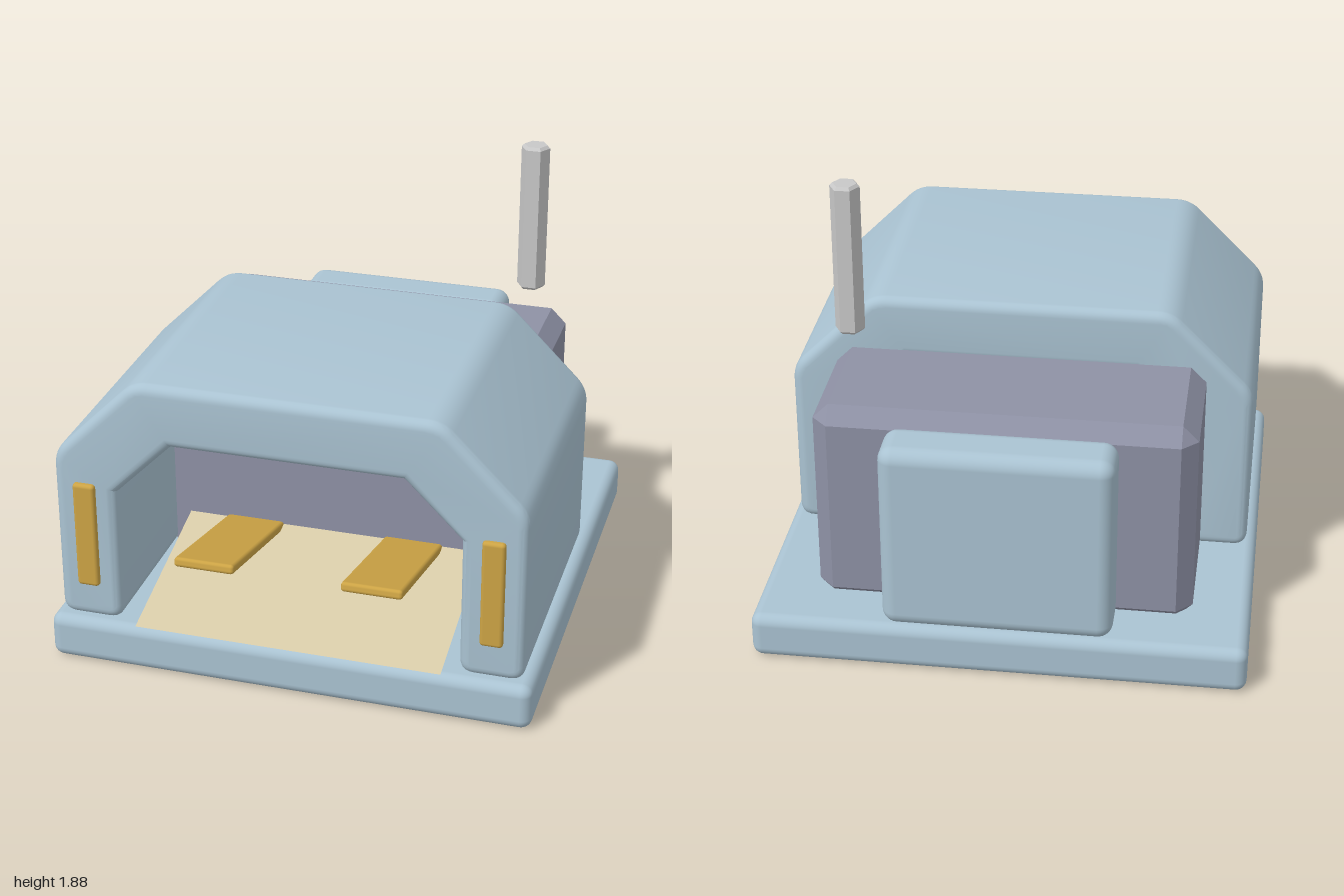
import * as THREE from 'three';
import { toCreasedNormals } from 'three/addons/utils/BufferGeometryUtils.js';
import { RoundedBoxGeometry } from 'three/addons/geometries/RoundedBoxGeometry.js';
import { ConvexGeometry } from 'three/addons/geometries/ConvexGeometry.js';

function material(name, color) {
  const m = new THREE.MeshStandardMaterial({ color });
  m.name = name;
  return m;
}

// Arch outline; each point is [x, y, corner radius]
function roundedOutline(points) {
  const shape = new THREE.Shape();
  const at = (i) => points[(i + points.length) % points.length];
  points.forEach(([x, y, r], i) => {
    const corner = new THREE.Vector2(x, y);
    const toward = (p) => new THREE.Vector2(p[0], p[1]).sub(corner).normalize().multiplyScalar(r).add(corner);
    const a = toward(at(i - 1)), b = toward(at(i + 1));
    if (i === 0) shape.moveTo(a.x, a.y); else shape.lineTo(a.x, a.y);
    if (r > 0) shape.quadraticCurveTo(x, y, b.x, b.y);
  });
  shape.closePath();
  return shape;
}

// Box with every edge cut by a flat chamfer
function chamferedBox(w, h, d, c) {
  const points = [];
  for (const sx of [-1, 1]) for (const sy of [-1, 1]) for (const sz of [-1, 1]) {
    const x = sx * w / 2, y = sy * h / 2, z = sz * d / 2;
    points.push(
      new THREE.Vector3(x, y - sy * c, z - sz * c),
      new THREE.Vector3(x - sx * c, y, z - sz * c),
      new THREE.Vector3(x - sx * c, y - sy * c, z));
  }
  return new ConvexGeometry(points);
}

export function createModel() {
  const group = new THREE.Group();
  group.name = 'hangar';
  const shell = material('pale blue', 0xaac3d2);
  const core = material('slate', 0x8e91a5);
  const sand = material('sand', 0xd8cba8);
  sand.side = THREE.DoubleSide;
  const gold = material('gold', 0xcda445);
  const metal = material('light grey', 0xc8c8c8);

  function add(name, geometry, mat, x, y, z) {
    const mesh = new THREE.Mesh(geometry, mat);
    mesh.name = name;
    mesh.position.set(x, y, z);
    group.add(mesh);
    return mesh;
  }

  // Foundation slab and rear housing
  add('base', new RoundedBoxGeometry(2, 0.195, 2, 4, 0.045), shell, 0, 0.0975, 0);
  add('rearHousing', new RoundedBoxGeometry(0.925, 0.805, 0.23, 4, 0.06), shell, 0, 0.5975, -0.88);

  // Arched front shell
  const b = 0.04;
  const half = [[0.7, 0.195, 0.06], [0.96, 0.195, 0.06], [0.96, 0.925, 0.06], [0.615, 1.27, 0.06]];
  const inner = [[0.47, 1.01, 0], [0.7, 0.78, 0]];
  const mirror = (list) => list.map(([x, y, r]) => [-x, y, r]).reverse();
  const outline = roundedOutline([...half, ...mirror(half), ...mirror(inner), ...inner]);
  const arch = new THREE.ExtrudeGeometry(outline, {
    depth: 1.19 - 2 * b, bevelSize: b, bevelThickness: b, bevelOffset: -b, bevelSegments: 6, curveSegments: 6,
  });
  add('archShell', toCreasedNormals(arch, 0.35), shell, 0, 0, -0.23 + b);

  // Inner block, closing the back of the bay
  add('innerBlock', chamferedBox(1.53, 0.885, 1.08, 0.065), core, 0, 0.5975, -0.24);

  // Sloping bay floor
  const rise = 0.17, run = 0.68;
  const ramp = add('ramp', new THREE.PlaneGeometry(1.27, Math.hypot(rise, run)), sand, 0, 0.277, 0.64);
  ramp.rotation.x = -Math.PI / 2 + Math.atan2(rise, run);

  // Tilted bay plates and upright door strips
  for (const side of [-1, 1]) {
    const sideName = side > 0 ? 'left' : 'right';
    const plate = add(sideName + 'BayPlate', new RoundedBoxGeometry(0.25, 0.04, 0.69, 2, 0.014), gold, side * 0.345, 0.425, 0.615);
    plate.rotation.x = -0.23;
    add(sideName + 'DoorStrip', new RoundedBoxGeometry(0.092, 0.46, 0.06, 2, 0.015), gold, side * 0.83, 0.58, 0.952);
  }

  // Six-sided chimney with a small chamfer at each end
  const profile = [[0, 0], [0.048, 0], [0.06, 0.012], [0.06, 0.623], [0.048, 0.635], [0, 0.635]]
    .map(([x, y]) => new THREE.Vector2(x, y));
  const chimney = new THREE.LatheGeometry(profile, 6, Math.PI / 2).toNonIndexed();
  chimney.computeVertexNormals();
  add('chimney', chimney, metal, 0.652, 1.245, -0.465);

  return group;
}
